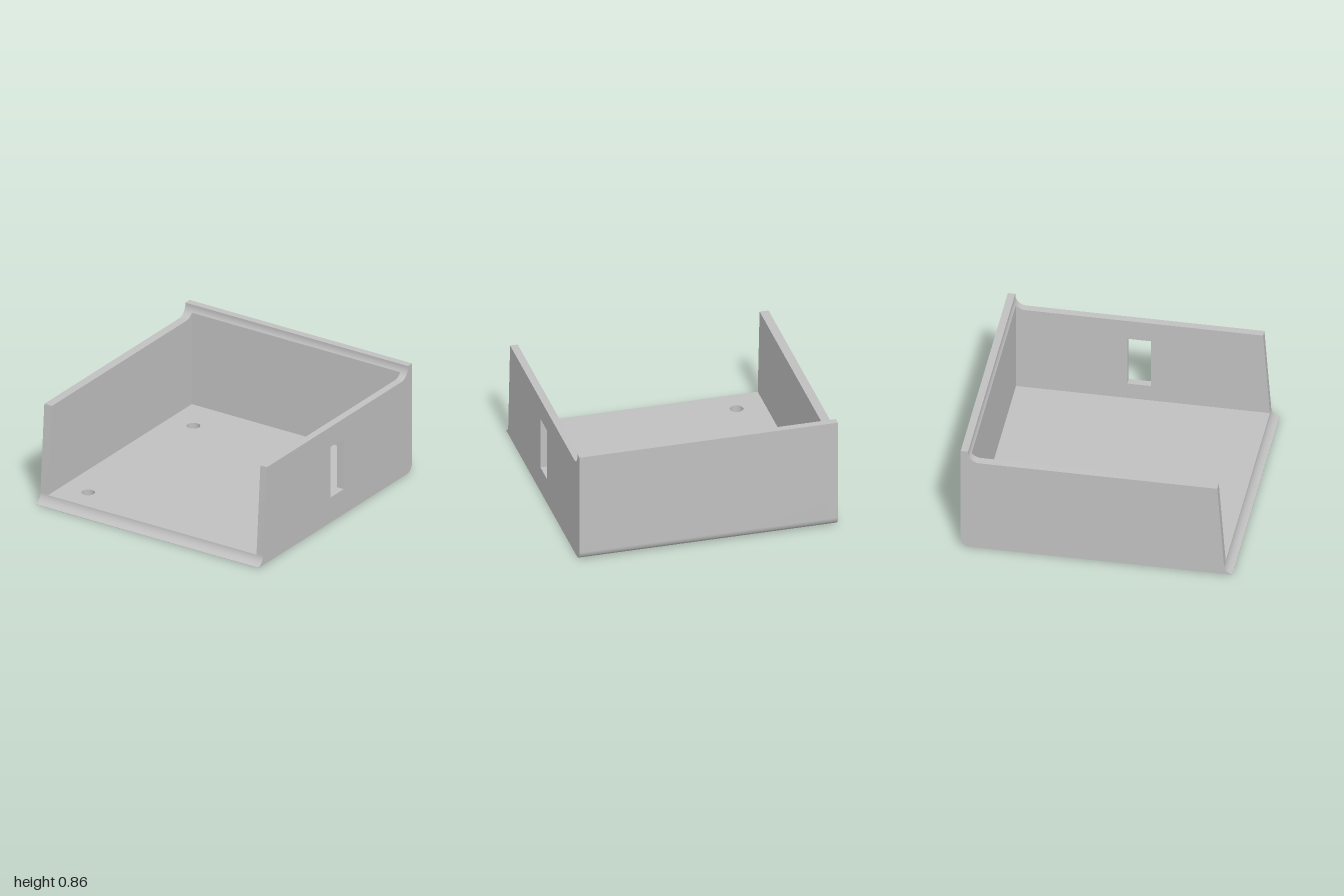
import * as THREE from 'three';
import { toCreasedNormals } from 'three/addons/utils/BufferGeometryUtils.js';

const PI = Math.PI;
const OUT = 0.972;                 // half outer width
const IN_L = 0.915, IN_R = -0.905; // inner faces of the two side walls
const FLOOR = 0.07;                // floor thickness
const BACK = -0.93;                // inner face of the back wall

const extrude = (shape, depth) =>
  new THREE.ExtrudeGeometry(shape, { depth, bevelEnabled: false, curveSegments: 16 });

// Extrudes a (z, y) profile across the width from x0 to x1
function acrossX(shape, x0, x1) {
  const g = extrude(shape, x1 - x0);
  g.rotateY(-PI / 2);
  g.translate(x1, 0, 0);
  return toCreasedNormals(g, 0.4);
}

// Rounded heel, upright back edge and start of the cove, shared by walls and back
function backOutline(shape, coveEnd) {
  shape.absarc(-0.93, 0.07, 0.07, 1.5 * PI, PI, true);
  shape.lineTo(-1, 0.86);
  shape.lineTo(-0.945, 0.86);
  shape.absarc(-0.86, 0.85, 0.085, PI, coveEnd, false);
}

// Flared toe at the front edge
function frontFlare(shape, from, to) {
  shape.absarc(1.02, 0.08, 0.08, from, to, from > to);
}
const TOE = PI + Math.acos(0.25);

function sideProfile(withSlot) {
  const s = new THREE.Shape();
  s.moveTo(1, 0);
  s.lineTo(-0.93, 0);
  backOutline(s, 1.5 * PI);
  s.lineTo(0.89, 0.765);
  frontFlare(s, PI, TOE);
  s.closePath();
  if (withSlot) {
    const slot = new THREE.Path();
    slot.moveTo(-0.11, 0.2);
    slot.lineTo(0.065, 0.2);
    slot.lineTo(0.065, 0.605);
    slot.lineTo(-0.11, 0.605);
    slot.closePath();
    s.holes.push(slot);
  }
  return s;
}

function backProfile() {
  const s = new THREE.Shape();
  s.moveTo(BACK, 0);
  backOutline(s, PI + Math.acos(0.07 / 0.085));
  s.closePath();
  return s;
}

function lipProfile() {
  const s = new THREE.Shape();
  s.moveTo(0.93, 0);
  s.lineTo(1, 0);
  frontFlare(s, TOE, PI + 0.125);
  s.lineTo(0.93, FLOOR);
  s.closePath();
  return s;
}

// Floor slab with two round screw holes
function floorGeometry() {
  const s = new THREE.Shape();
  s.moveTo(IN_R, BACK);
  s.lineTo(IN_L, BACK);
  s.lineTo(IN_L, 0.93);
  s.lineTo(IN_R, 0.93);
  s.closePath();
  for (const z of [-0.63, 0.74]) {
    const hole = new THREE.Path();
    hole.absarc(-0.69, z, 0.05, 0, 2 * PI, true);
    s.holes.push(hole);
  }
  const g = extrude(s, FLOOR);
  g.rotateX(PI / 2);
  g.translate(0, FLOOR, 0);
  return toCreasedNormals(g, 0.5);
}

export function createModel() {
  const group = new THREE.Group();
  group.name = 'openTray';
  const grey = new THREE.MeshStandardMaterial({ color: 0xc0c0c0 });
  grey.name = 'lightGrey';

  const add = (name, geometry) => {
    const mesh = new THREE.Mesh(geometry, grey);
    mesh.name = name;
    group.add(mesh);
  };

  add('leftWall', acrossX(sideProfile(true), IN_L, OUT));
  add('rightWall', acrossX(sideProfile(false), -OUT, IN_R));
  add('backWall', acrossX(backProfile(), IN_R, IN_L));
  add('frontLip', acrossX(lipProfile(), IN_R, IN_L));
  add('floor', floorGeometry());
  return group;
}
